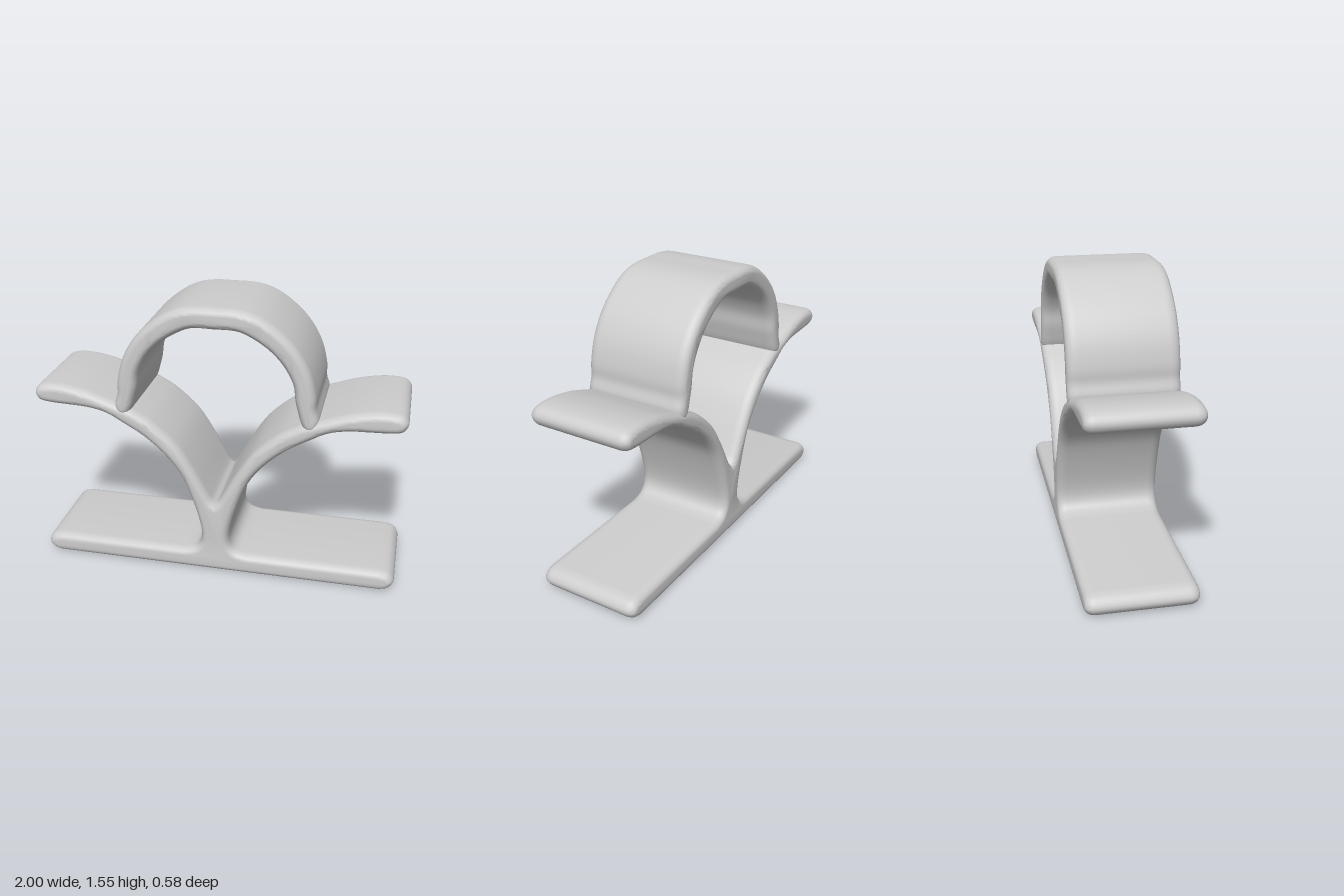
import * as THREE from 'three';
import { toCreasedNormals } from 'three/addons/utils/BufferGeometryUtils.js';

const HALF_DEPTH = 0.288;
const EDGE = 0.038; // rounding seen from the front
const EDGE_DEPTH = 0.055; // rounding along the depth

// Smooth run through a few [x, y] points
function smooth(points, divisions) {
  return new THREE.SplineCurve(points.map(([x, y]) => new THREE.Vector2(x, y))).getPoints(divisions);
}

// Joins runs that share end points
function join(...runs) {
  return runs.flatMap((run, i) => (i ? run.slice(1) : run));
}

// Mirrors a right half that starts and ends on x = 0 into a closed loop
function mirrorLoop(half) {
  const left = half.slice(1, -1).reverse().map((p) => new THREE.Vector2(-p.x, p.y));
  return [...half, ...left];
}

// Sweeps a mirrored profile through the depth with rounded edges
function makeBand(name, half, material) {
  const depth = 2 * (HALF_DEPTH - EDGE_DEPTH);
  const geometry = new THREE.ExtrudeGeometry(new THREE.Shape(mirrorLoop(half)), {
    depth,
    bevelThickness: EDGE_DEPTH,
    bevelSize: EDGE,
    bevelOffset: -EDGE,
    bevelSegments: 6,
  });
  geometry.translate(0, 0, -depth / 2);
  const mesh = new THREE.Mesh(toCreasedNormals(geometry, 0.8), material);
  mesh.name = name;
  return mesh;
}

export function createModel() {
  const group = new THREE.Group();
  group.name = 'archedStand';
  const grey = new THREE.MeshStandardMaterial({ color: 0xcccccc });
  grey.name = 'plain grey';

  // Flat base with a rounded end
  const base = [
    new THREE.Vector2(0, 0),
    ...smooth([[0.92, 0], [0.97, 0.016], [0.998, 0.06], [0.97, 0.105], [0.92, 0.12]], 14),
  ];
  // Stem fillet, underside of the curved arm, arm tip, then the arm top down to the fork
  const stemAndArm = [
    base[base.length - 1],
    ...smooth([
      [0.18, 0.12], [0.115, 0.137], [0.083, 0.18], [0.08, 0.25], [0.105, 0.36], [0.152, 0.5],
      [0.2, 0.6], [0.28, 0.7], [0.39, 0.795], [0.51, 0.868], [0.6, 0.915], [0.7, 0.937],
      [0.82, 0.943], [0.92, 0.948], [0.975, 0.962], [0.998, 1.005], [0.975, 1.045], [0.92, 1.06],
      [0.83, 1.058], [0.72, 1.038], [0.63, 1.01], [0.55, 0.982], [0.47, 0.955],
      [0.42, 0.93], [0.33, 0.875], [0.21, 0.765], [0.12, 0.63], [0.05, 0.5],
      [0.02, 0.447], [0, 0.428],
    ], 116),
  ];
  group.add(makeBand('baseStemAndArms', join(base, stemAndArm), grey));

  // Arch: inside, rounded foot sunk into the arm, outside
  const arch = smooth([
    [0, 1.43], [0.1, 1.43], [0.17, 1.41], [0.27, 1.35], [0.35, 1.27], [0.405, 1.17],
    [0.42, 1.08], [0.435, 1.02], [0.451, 0.965], [0.47, 0.93], [0.505, 0.915],
    [0.538, 0.935], [0.547, 0.98], [0.53, 1.04], [0.527, 1.11], [0.5, 1.22], [0.45, 1.32],
    [0.38, 1.405], [0.28, 1.485], [0.19, 1.528], [0.1, 1.544], [0, 1.545],
  ], 84);
  group.add(makeBand('arch', arch, grey));
  return group;
}
